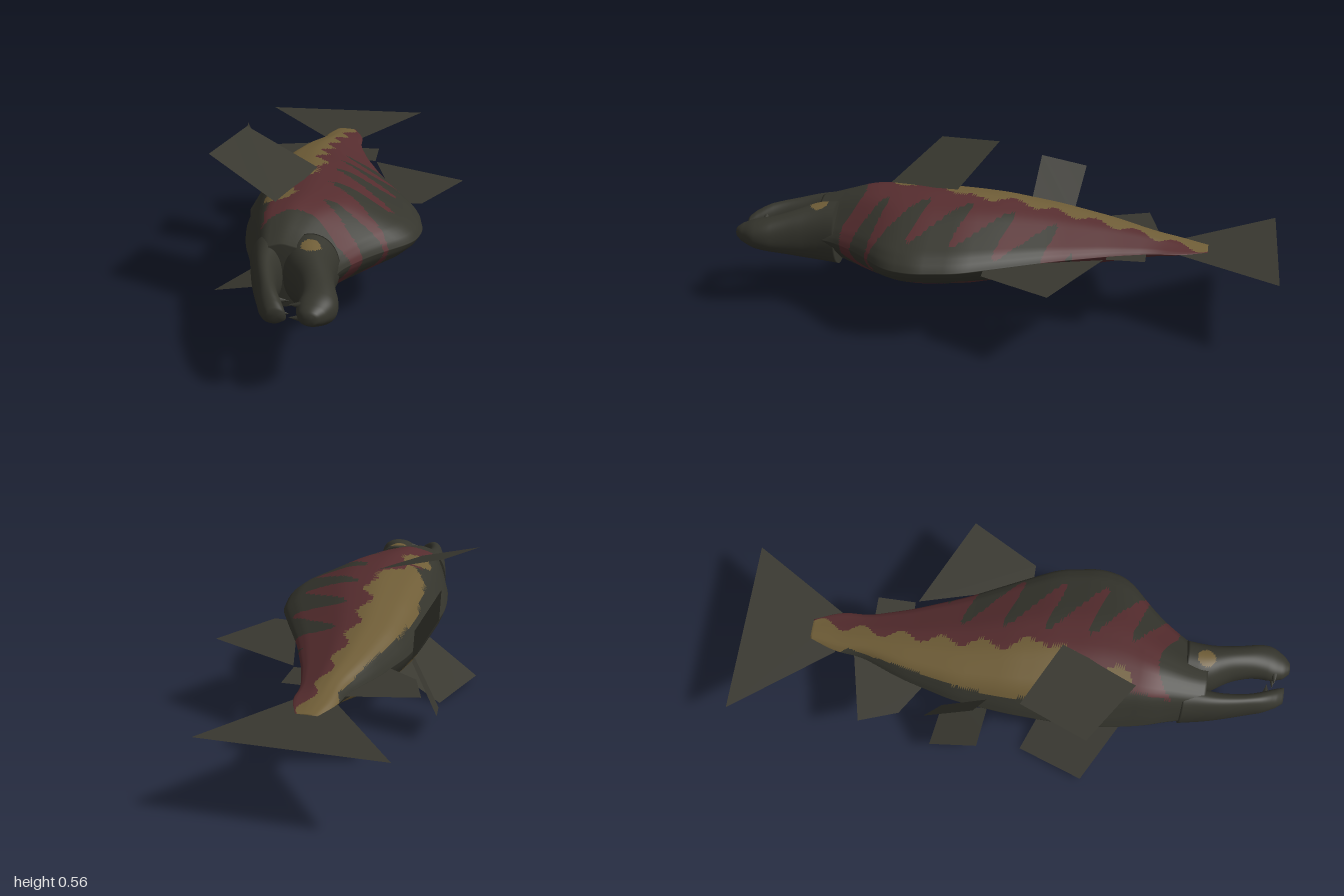
import * as THREE from 'three';

const MID = 0.285; // height of the symmetry plane; the fish lies on its side

const mat = (name, color, side = THREE.FrontSide) => {
  const m = new THREE.MeshStandardMaterial({ color, side });
  m.name = name;
  return m;
};

// Linear interpolation in rows [key, v1, v2, ...], clamped at the ends
function lookup(rows, k) {
  if (k <= rows[0][0]) return rows[0].slice(1);
  for (let i = 1; i < rows.length; i++) {
    if (k <= rows[i][0]) {
      const a = rows[i - 1], b = rows[i], f = (k - a[0]) / (b[0] - a[0]);
      return a.slice(1).map((v, n) => v + (b[n + 1] - v) * f);
    }
  }
  return rows[rows.length - 1].slice(1);
}

// The same, averaged over a small window to round the corners
function soft(rows, k, width) {
  const w = Math.min(width, k - rows[0][0], rows[rows.length - 1][0] - k);
  const sum = rows[0].slice(1).fill(0);
  for (let s = -2; s <= 2; s++) lookup(rows, k + (s * w) / 2).forEach((v, n) => { sum[n] += v / 5; });
  return sum;
}

// Sections: z, belly x, back x, half thickness
const BODY = [
  [-0.75, -0.115, -0.04, 0.004], [-0.65, -0.153, 0.003, 0.022], [-0.55, -0.16, 0.005, 0.045],
  [-0.4, -0.22, 0.05, 0.077], [-0.2, -0.275, 0.13, 0.115], [0, -0.297, 0.23, 0.153],
  [0.12, -0.302, 0.288, 0.167], [0.28, -0.305, 0.314, 0.176], [0.38, -0.293, 0.29, 0.176],
  [0.5, -0.27, 0.165, 0.172], [0.57, -0.245, 0.11, 0.152], [0.65, -0.225, 0.06, 0.126], [0.7, -0.215, 0.057, 0.112],
];
const UPPER_JAW = [
  [0.62, -0.12, 0.065, 0.12], [0.7, -0.12, 0.058, 0.112], [0.76, -0.07, 0.065, 0.095], [0.82, -0.04, 0.076, 0.078],
  [0.9, -0.025, 0.1, 0.06], [0.96, -0.04, 0.088, 0.046], [1, 0, 0.04, 0.018],
];
const LOWER_JAW = [
  [0.62, -0.233, -0.09, 0.112], [0.72, -0.212, -0.12, 0.098], [0.8, -0.19, -0.115, 0.08],
  [0.88, -0.165, -0.1, 0.067], [0.94, -0.15, -0.07, 0.053], [0.985, -0.115, -0.055, 0.02],
];
// Thickness of the flank from back (0) to belly (1)
const FLANK = [[0, 0], [0.04, 0.22], [0.41, 0.86], [0.63, 1], [0.86, 0.84], [0.95, 0.45], [1, 0]];

// Ochre band limits along z: lower x, upper x
const BAND = [
  [-0.75, -0.2, -0.045], [-0.6, -0.14, -0.065], [-0.4, -0.19, -0.08], [-0.2, -0.24, -0.085],
  [0, -0.262, -0.085], [0.1, -0.25, -0.05], [0.22, -0.24, -0.1], [0.32, -0.17, -0.17],
];

// Skin pattern: 0 olive, 1 red, 2 ochre
function paint(x, z) {
  if (Math.hypot(x + 0.02, z - 0.69) < 0.033) return 2; // eye
  if (Math.hypot(x + 0.17, z - 0.38) < 0.055) return 2; // spot by the chest fin
  const [lo, hi] = lookup(BAND, z);
  const edge = hi + 0.018 * Math.sin(z * 42);
  if (z < 0.31 && x > lo && x < edge) return 2;
  if (z > 0.52 + 4 * (x + 0.08) ** 2 || z > 0.59) return 0;
  const start = z < 0.31 ? edge : -0.2;
  if (x < start) return 0;
  if (z < -0.27) return 1;
  // slanted fingers reaching towards the back
  const reach = 0.1 + 0.11 * Math.sin(((z - 0.55 * x) / 0.155) * Math.PI * 2);
  return x < reach ? 1 : 0;
}

// Closed loft along z, split into material groups by the skin pattern
function loft(name, rows, nz, profile, mats) {
  const N = 72, pos = [], faces = [[], [], []];
  const z0 = rows[0][0], z1 = rows[rows.length - 1][0];
  for (let i = -1; i <= nz + 1; i++) {
    const z = z0 + (z1 - z0) * Math.min(1, Math.max(0, i / nz));
    const [belly, back, half] = soft(rows, z, 0.035);
    const scale = i < 0 || i > nz ? 0.001 : 1; // end caps
    const cx = (belly + back) / 2;
    for (let j = 0; j < N; j++) {
      const a = (j / N) * Math.PI * 2, t = (1 - Math.cos(a)) / 2;
      const h = half * profile(t) * (j <= N / 2 ? 1 : -1);
      pos.push(cx + (back + (belly - back) * t - cx) * scale, MID + h * scale, z);
    }
  }
  const add = (a, b, c) => {
    const x = (pos[a * 3] + pos[b * 3] + pos[c * 3]) / 3;
    const z = (pos[a * 3 + 2] + pos[b * 3 + 2] + pos[c * 3 + 2]) / 3;
    faces[paint(x, z)].push(a, b, c);
  };
  for (let i = 0; i < nz + 2; i++) {
    for (let j = 0; j < N; j++) {
      const a = i * N + j, b = i * N + ((j + 1) % N);
      add(a, b, a + N);
      add(b, b + N, a + N);
    }
  }
  const g = new THREE.BufferGeometry();
  g.setAttribute('position', new THREE.Float32BufferAttribute(pos, 3));
  g.setIndex(faces.flat());
  let start = 0;
  faces.forEach((f, n) => { g.addGroup(start, f.length, n); start += f.length; });
  g.computeVertexNormals();
  const mesh = new THREE.Mesh(g, mats);
  mesh.name = name;
  return mesh;
}

// Flat four-cornered fin
function fin(name, corners, material) {
  const g = new THREE.BufferGeometry();
  g.setAttribute('position', new THREE.Float32BufferAttribute(corners.flat(), 3));
  g.setIndex([0, 1, 2, 0, 2, 3]);
  g.computeVertexNormals();
  const mesh = new THREE.Mesh(g, material);
  mesh.name = name;
  return mesh;
}

export function createModel() {
  const model = new THREE.Group();
  model.name = 'fish';
  const skin = [mat('olive skin', 0x35352d), mat('red skin', 0x562d2f), mat('ochre skin', 0x6f5d37)];
  const finMat = mat('fin olive', 0x38372f, THREE.DoubleSide);

  // Body and open jaws
  const flank = (t) => soft(FLANK, t, 0.05)[0];
  const oval = (t) => Math.pow(Math.max(0, 4 * t * (1 - t)), 0.45);
  model.add(loft('body', BODY, 190, flank, skin));
  model.add(loft('upperJaw', UPPER_JAW, 50, oval, skin));
  model.add(loft('lowerJaw', LOWER_JAW, 50, oval, skin));

  // Small teeth at the jaw tips
  for (const s of [-1, 1]) {
    for (const [x, z, turn] of [[-0.035, 0.945, 1], [-0.075, 0.92, -1]]) {
      const tooth = new THREE.Mesh(new THREE.ConeGeometry(0.012, 0.04, 6), skin[0]);
      tooth.name = 'tooth';
      tooth.position.set(x, MID + s * 0.022, z);
      tooth.rotation.z = turn * Math.PI / 2;
      model.add(tooth);
    }
  }

  // Fins in the symmetry plane, as x, z corners
  const flat = {
    tailFin: [[-0.42, -1], [0.215, -1], [0, -0.65], [-0.155, -0.65]],
    backFin: [[0.085, -0.38], [0.43, -0.22], [0.29, 0.03], [0.2, 0.03]],
    smallBackFin: [[-0.02, -0.53], [0.08, -0.53], [0.08, -0.39], [0.03, -0.39]],
    rearBellyFin: [[-0.4, -0.52], [-0.15, -0.58], [-0.24, -0.31], [-0.35, -0.38]],
  };
  for (const [name, pts] of Object.entries(flat)) {
    model.add(fin(name, pts.map(([x, z]) => [x, MID, z]), finMat));
  }

  // Paired fins, as x, height above the symmetry plane, z
  const paired = {
    bellyFin: [[-0.37, 0.225, -0.1], [-0.4, 0.18, -0.27], [-0.3, 0.005, -0.23], [-0.27, 0.05, -0.07]],
    chestFin: [[-0.34, 0.282, 0.06], [-0.07, 0.18, 0.175], [-0.165, 0.15, 0.455], [-0.43, 0.26, 0.3]],
  };
  for (const [name, pts] of Object.entries(paired)) {
    for (const s of [1, -1]) {
      model.add(fin(name + (s > 0 ? 'Upper' : 'Lower'), pts.map(([x, y, z]) => [x, MID + s * y, z]), finMat));
    }
  }
  return model;
}
